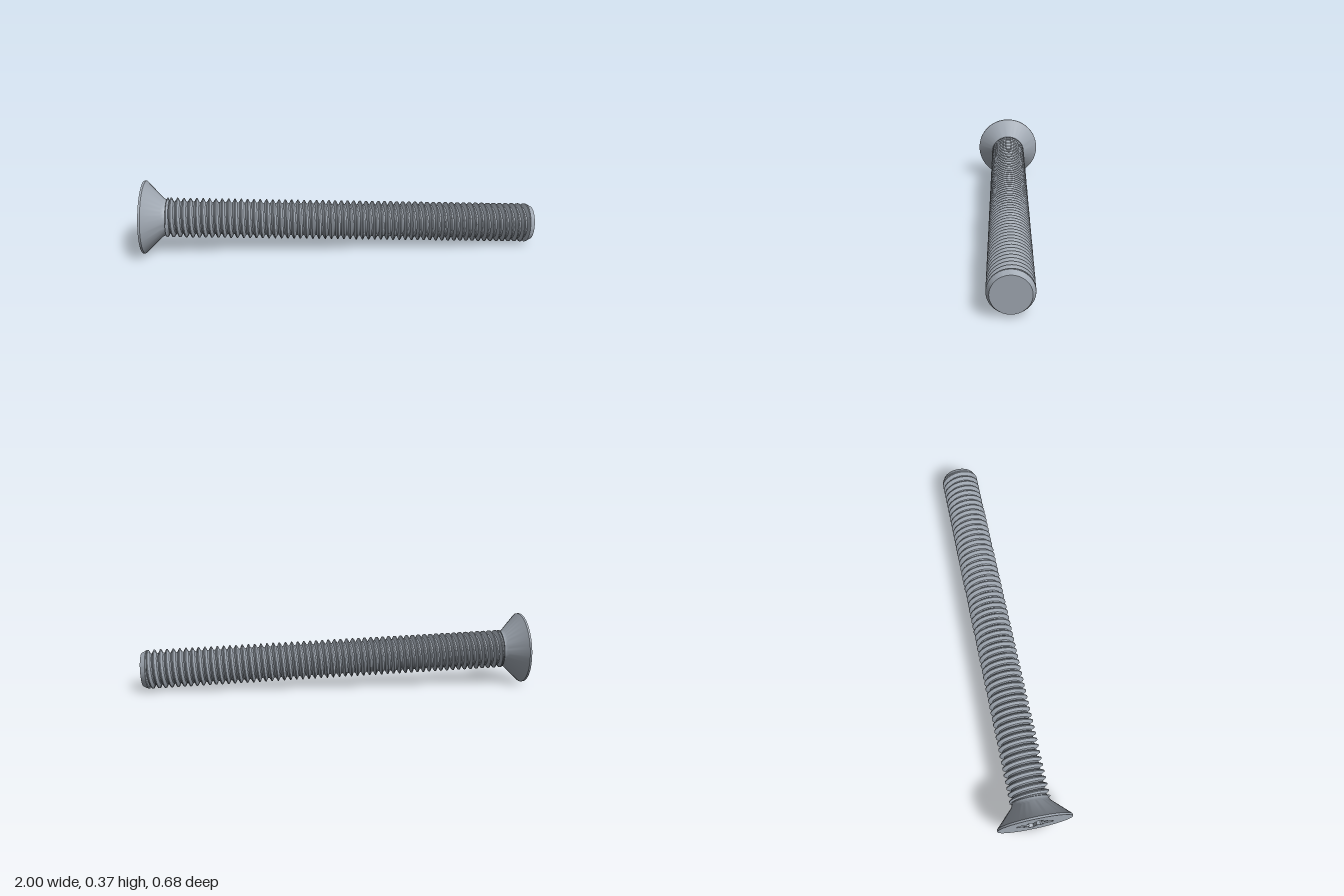
import * as THREE from 'three';
import { toCreasedNormals, mergeVertices } from 'three/addons/utils/BufferGeometryUtils.js';

const LENGTH = 1.989, HEAD_R = 0.1835, MAJOR_R = 0.1, MINOR_R = 0.081, PITCH = 0.032, SEGS = 64;
const steel = new THREE.MeshStandardMaterial({ color: 0xa0a8b2 });
steel.name = 'steel';

// Smooth surface from a rectangular grid of points: rows run one way, columns the other
function gridGeometry(columns) {
  const rows = columns[0].length, index = [];
  for (let j = 0; j < columns.length - 1; j++) {
    for (let k = 0; k < rows - 1; k++) {
      const a = j * rows + k, b = a + rows;
      index.push(a, b, a + 1, b, b + 1, a + 1);
    }
  }
  const g = new THREE.BufferGeometry().setFromPoints(columns.flat());
  g.setIndex(index);
  return g;
}

// Turned part, from [radius, height] pairs
function turned(points) {
  const g = new THREE.LatheGeometry(points.map(([r, y]) => new THREE.Vector2(r, y)), SEGS);
  g.deleteAttribute('normal');
  g.deleteAttribute('uv');
  return toCreasedNormals(mergeVertices(g), 0.45);
}

// Right-handed helical thread, clamped flat at both ends
function threadGeometry(start, end) {
  const profile = [[0, MINOR_R], [0.22, MINOR_R], [0.54, MAJOR_R], [0.68, MAJOR_R]];
  const turns = Math.ceil((end - start) / PITCH) + 2, steps = 48, columns = [];
  for (let j = 0; j <= steps; j++) {
    const t = j / steps, angle = t * Math.PI * 2, column = [];
    for (let i = -1; i < turns; i++) {
      for (const [f, r] of profile) {
        const y = THREE.MathUtils.clamp(start + PITCH * (i + f + t - 0.5), start, end);
        column.push(new THREE.Vector3(r * Math.cos(angle), y, -r * Math.sin(angle)));
      }
    }
    columns.push(column);
  }
  return toCreasedNormals(gridGeometry(columns), 0.5);
}

// Cross recess outline with small diagonal grooves between the arms
function recessOutline(scale) {
  const quarter = [[0.09, -0.015], [0.09, 0.015], [0.04, 0.019], [0.052, 0.042], [0.042, 0.052], [0.019, 0.04]];
  const points = [];
  for (let q = 0; q < 4; q++) {
    for (const [x, y] of quarter) {
      points.push(new THREE.Vector2(x, y).multiplyScalar(scale).rotateAround(new THREE.Vector2(), q * Math.PI / 2));
    }
  }
  return points;
}

export function createModel() {
  const model = new THREE.Group();
  model.name = 'countersunkScrew';
  const screw = new THREE.Group();
  screw.name = 'screw';
  model.add(screw);
  const add = (name, geometry) => {
    const mesh = new THREE.Mesh(geometry, steel);
    mesh.name = name;
    screw.add(mesh);
    return mesh;
  };

  // Countersunk head with thin rim and filleted neck
  add('head', turned([
    [HEAD_R, 0], [HEAD_R, 0.01], [0.1, 0.092], [0.095, 0.099], [0.091, 0.108], [0.089, 0.12], [MINOR_R, 0.13],
  ]));

  // Flat head face, open over the recess
  const face = new THREE.Shape().absarc(0, 0, HEAD_R, 0, Math.PI * 2);
  face.holes.push(new THREE.Path(recessOutline(1)));
  add('headFace', new THREE.ShapeGeometry(face, SEGS / 2).rotateX(Math.PI / 2));

  // Tapered driver recess
  const depth = 0.1, taper = 0.6;
  const top = recessOutline(1), bottom = recessOutline(taper);
  const columns = [...top.keys(), 0].map((i) => [
    new THREE.Vector3(top[i].x, 0, top[i].y),
    new THREE.Vector3(bottom[i].x, depth, bottom[i].y),
  ]);
  add('recessWalls', toCreasedNormals(gridGeometry(columns), 0.2));
  add('recessFloor', new THREE.ShapeGeometry(new THREE.Shape(bottom)).rotateX(Math.PI / 2)).position.y = depth;

  // Threaded shank and chamfered end
  add('thread', threadGeometry(0.115, LENGTH - 0.028));
  add('tip', turned([[MINOR_R, LENGTH - 0.036], [MAJOR_R - 0.001, LENGTH - 0.025], [0.086, LENGTH], [0, LENGTH]]));

  // Lay the screw down, resting on the head rim and the tip
  const axis = new THREE.Vector3(0.978, -0.0405, 0.205).normalize();
  screw.quaternion.setFromUnitVectors(new THREE.Vector3(0, 1, 0), axis);
  screw.position.set(-0.961, 0.1835, -0.1635);
  return model;
}
